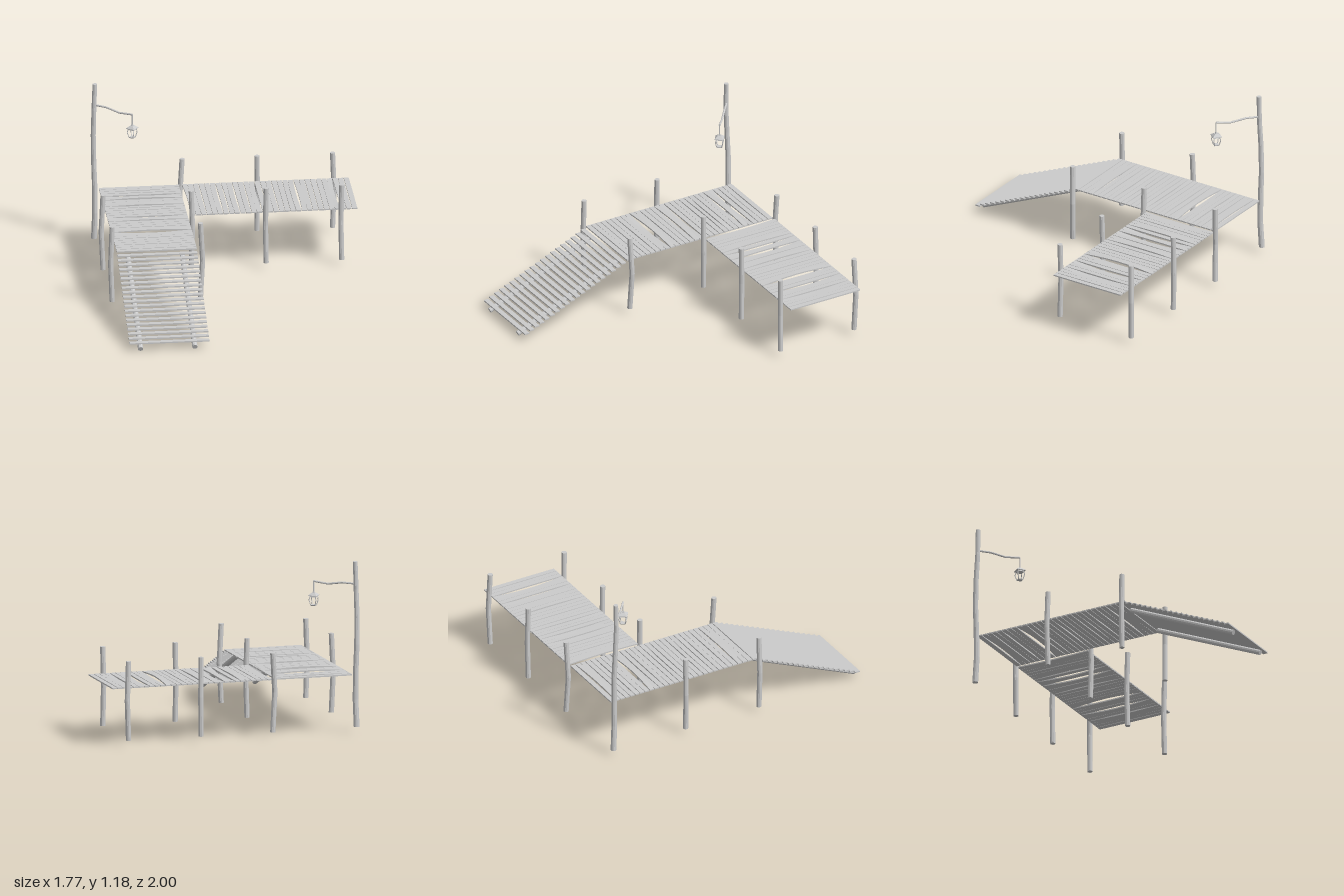
import * as THREE from 'three';

const mat = new THREE.MeshStandardMaterial({ color: 0xcccccc, flatShading: true });

function add(parent, name, geo) {
  const m = new THREE.Mesh(geo, mat);
  m.name = name;
  parent.add(m);
  return m;
}

// shift vertices: fn(vertex) edits the vector in place
function warp(geo, fn) {
  const p = geo.attributes.position, v = new THREE.Vector3();
  for (let i = 0; i < p.count; i++) {
    v.fromBufferAttribute(p, i);
    fn(v);
    p.setXYZ(i, v.x, v.y, v.z);
  }
  geo.computeVertexNormals();
  return geo;
}

// round rod between two points
function rod(parent, name, a, b, r, sides = 8) {
  const A = new THREE.Vector3(...a), B = new THREE.Vector3(...b);
  const d = B.clone().sub(A);
  const m = add(parent, name, new THREE.CylinderGeometry(r, r, d.length(), sides));
  m.position.copy(A).add(B).multiplyScalar(0.5);
  m.quaternion.setFromUnitVectors(new THREE.Vector3(0, 1, 0), d.normalize());
  return m;
}

// plank along x, bowed sideways and up or down in the middle
const PLANK = 0.545;
function plank(parent, name, width, side = 0, lift = 0) {
  const geo = warp(new THREE.BoxGeometry(PLANK, 0.009, width, 6, 1, 1), v => {
    const k = Math.cos(v.x / PLANK * Math.PI);
    v.z += side * k;
    v.y += lift * k;
  });
  return add(parent, name, geo);
}

// rows of planks; bows maps a row number to [side, lift]
function deck(name, rows, length, bows) {
  const g = new THREE.Group();
  g.name = name;
  const pitch = length / rows;
  for (let i = 0; i < rows; i++) {
    const [side, lift] = bows[i] || [0.002 * Math.sin(i * 2.4), 0];
    plank(g, 'deckPlank', pitch - 0.004, side, lift).position.z = (i + 0.5) * pitch - length / 2;
  }
  return g;
}

function post(parent, x, z, bx, bz) {
  const H = 0.545;
  const geo = warp(new THREE.CylinderGeometry(0.018, 0.018, H, 10, 4), v => {
    const k = 1 - Math.abs(v.y) / (H / 2);
    v.x += bx * k;
    v.z += bz * k;
  });
  add(parent, 'post', geo).position.set(x, 0.045 + H / 2, z);
}

function lantern() {
  const g = new THREE.Group();
  g.name = 'lantern';
  const q = Math.PI / 4;
  const ring = (name, rTop, rBottom, h, y) => {
    const m = add(g, name, new THREE.CylinderGeometry(rTop, rBottom, h, 4));
    m.position.y = y;
    m.rotation.y = q;
  };
  ring('lanternRoof', 0.018, 0.043, 0.016, 0.018);
  ring('lanternRim', 0.043, 0.043, 0.004, 0.008);
  ring('lanternCollar', 0.03, 0.033, 0.008, 0.002);
  ring('lanternKnob', 0.006, 0.012, 0.012, 0.03);
  ring('lanternBase', 0.025, 0.022, 0.006, -0.059);
  // four bent corner bars
  for (let i = 0; i < 4; i++) {
    const c = Math.cos(q + i * 2 * q), s = Math.sin(q + i * 2 * q);
    const at = (r, y) => [r * c, y, r * s];
    rod(g, 'lanternBar', at(0.028, 0), at(0.035, -0.022), 0.0035, 4);
    rod(g, 'lanternBar', at(0.035, -0.022), at(0.022, -0.059), 0.0035, 4);
  }
  return g;
}

export function createModel() {
  const model = new THREE.Group();
  model.name = 'pier';

  // main walkway, running front to back
  const main = deck('mainDeck', 30, 1.15, {
    1: [0.007, 0.004], 4: [0.009, -0.01], 5: [-0.004, 0.008], 8: [0.01, 0.011], 9: [-0.006, 0],
    14: [0.007, -0.006], 15: [-0.005, 0.004], 20: [-0.008, 0.006], 21: [0.007, -0.009], 26: [0.005, 0.003],
  });
  main.position.set(-0.5525, 0.405, -0.382);
  model.add(main);

  // side walkway, turned to run left to right
  const sideDeck = deck('sideDeck', 30, 1.14, {
    0: [0.01, 0], 5: [-0.006, 0.003], 7: [0.009, -0.011], 8: [-0.005, 0], 9: [0.006, -0.012], 12: [-0.009, 0.002],
    19: [-0.009, 0.012], 20: [0.006, 0], 23: [0.005, -0.012], 26: [-0.009, -0.011],
  });
  sideDeck.rotation.y = Math.PI / 2;
  sideDeck.position.set(0.31, 0.405, -0.687);
  model.add(sideDeck);

  // ramp: level treads on two sloping beams
  const ramp = new THREE.Group();
  ramp.name = 'ramp';
  model.add(ramp);
  const treads = 20;
  for (let i = 0; i < treads; i++) {
    const t = (i + 0.5) / treads;
    plank(ramp, 'rampTread', 0.035).position.set(-0.5525, 0.396 - 0.346 * t, 0.195 + 0.802 * t);
  }
  for (const x of [-0.75, -0.38]) rod(ramp, 'rampBeam', [x, 0.019, 0.993], [x, 0.364, 0.2], 0.018, 10);

  // posts: x, z, middle bend in x and z
  const posts = [
    [-0.857, -0.388, -0.012, -0.003], [-0.857, 0.186, -0.01, 0.002],
    [-0.255, 0.183, 0.016, -0.009], [-0.255, -0.397, 0.008, 0.003], [-0.255, -0.975, -0.017, 0.008],
    [0.255, -0.975, 0.003, -0.006], [0.255, -0.393, -0.004, -0.006],
    [0.77, -0.975, 0.011, -0.008], [0.77, -0.396, -0.005, -0.004],
  ];
  for (const p of posts) post(model, ...p);

  // tall lamp post, slightly crooked
  const H = 1.135;
  const tall = warp(new THREE.CylinderGeometry(0.016, 0.02, H, 10, 6), v => {
    const t = v.y / H + 0.5;
    v.x += 0.006 * Math.sin(t * 7);
    v.z += 0.018 * t + 0.006 * Math.sin(t * 9);
  });
  add(model, 'lampPost', tall).position.set(-0.858, 0.045 + H / 2, -0.953);

  // crooked arm, hanger and lantern
  const arm = [[-0.86, 1.027, -0.938], [-0.78, 1.03, -0.874], [-0.7, 1.014, -0.808], [-0.62, 1.025, -0.74]];
  for (let i = 0; i < 3; i++) rod(model, 'lampArm', arm[i], arm[i + 1], 0.007);
  rod(model, 'lampHanger', [-0.62, 1.027, -0.74], [-0.62, 0.945, -0.74], 0.0045, 6);
  const lamp = lantern();
  lamp.position.set(-0.62, 0.918, -0.74);
  lamp.rotation.y = -0.65;
  model.add(lamp);

  return model;
}
